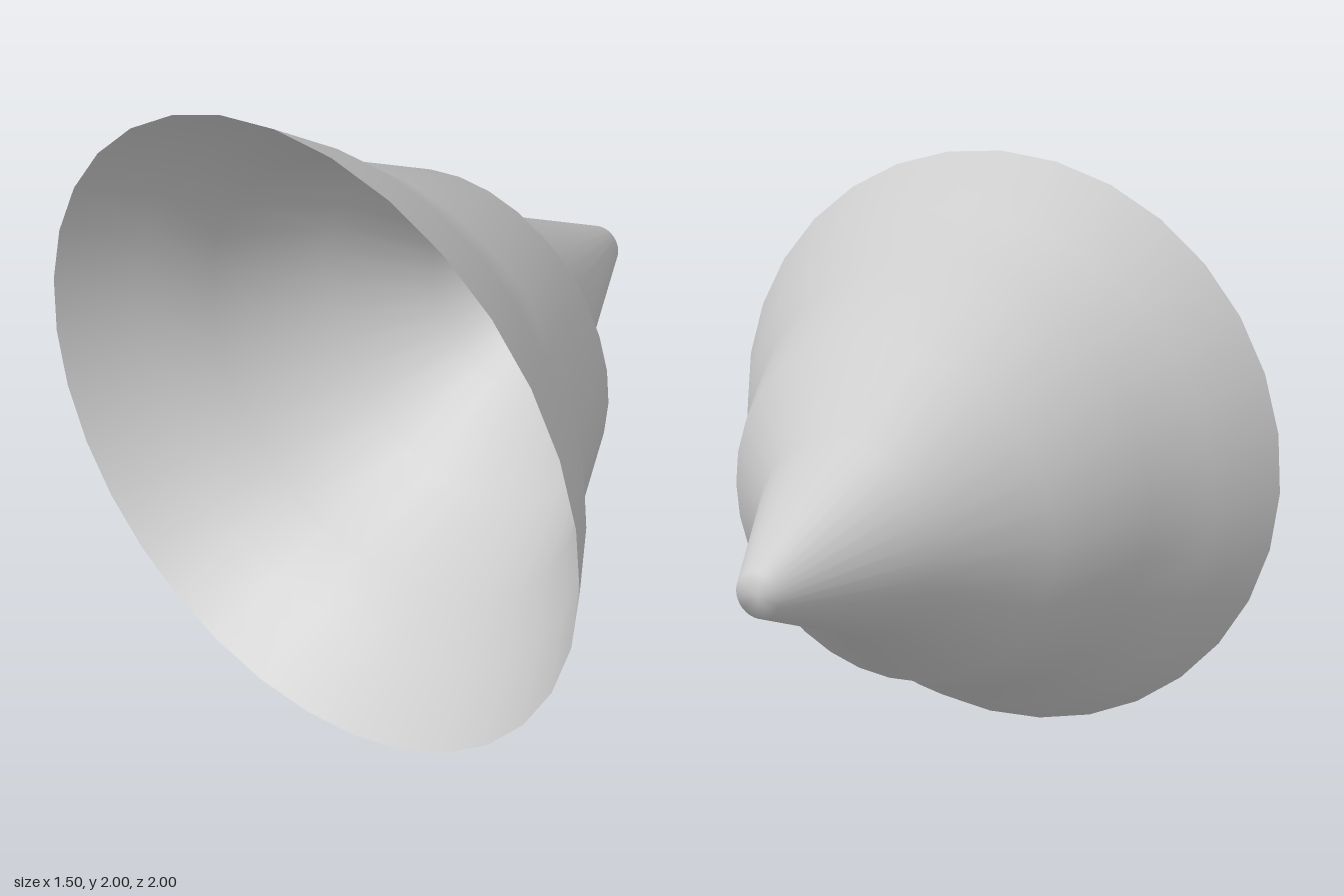
import * as THREE from 'three';

export function createModel() {
  const group = new THREE.Group();

  // Profile from the open wide rim to the closed tip: [radius, distance along the axis]
  const profile = [
    [1, -0.75], [0.855, -0.52], [0.725, -0.35], [0.56, 0],
    [0.315, 0.25], [0.07, 0.75], [0, 0.75],
  ].map(([r, d]) => new THREE.Vector2(r, d));

  // Thin, hollow flared cone lying on its side, tip towards +x
  const cone = new THREE.Mesh(
    new THREE.LatheGeometry(profile, 32),
    new THREE.MeshStandardMaterial({ color: 0xcccccc, side: THREE.DoubleSide })
  );
  cone.name = 'flaredCone';
  cone.rotation.z = -Math.PI / 2;
  cone.position.y = 1;
  group.add(cone);

  return group;
}
